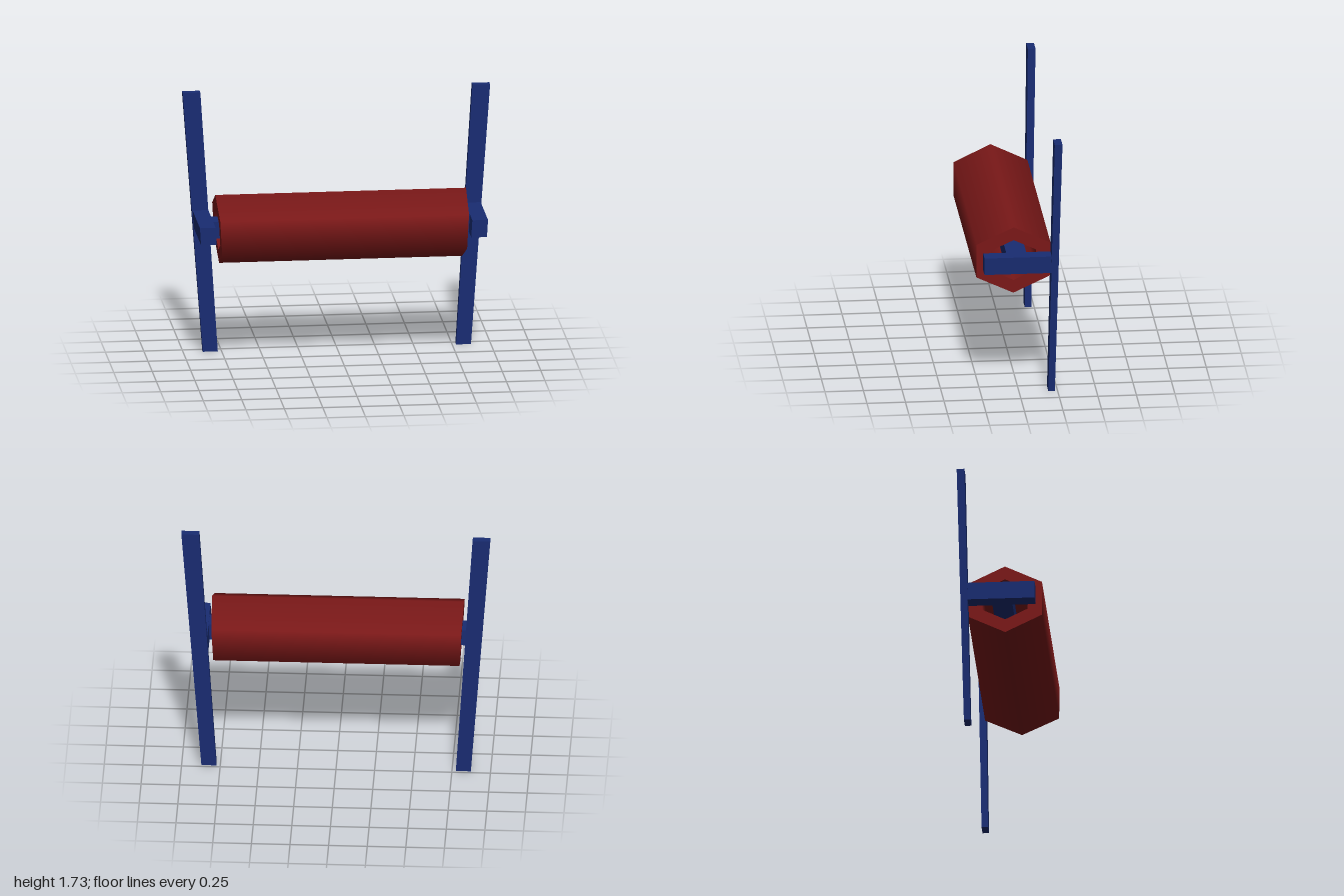
import * as THREE from 'three';

const BLUE = new THREE.MeshStandardMaterial({ color: 0x192c72, flatShading: true });
const RED = new THREE.MeshStandardMaterial({ color: 0x7a1818 });
const RED_INNER = new THREE.MeshStandardMaterial({ color: 0x7a1818, side: THREE.DoubleSide });

// Tapered box between two rectangles [x0, x1, z0, z1] at heights y0 and y1
function taperedBox(name, y0, low, y1, high) {
  const geo = new THREE.BoxGeometry(1, 1, 1);
  const p = geo.attributes.position;
  for (let i = 0; i < p.count; i++) {
    const top = p.getY(i) > 0;
    const r = top ? high : low;
    p.setXYZ(i, p.getX(i) > 0 ? r[1] : r[0], top ? y1 : y0, p.getZ(i) > 0 ? r[3] : r[2]);
  }
  geo.computeVertexNormals();
  const mesh = new THREE.Mesh(geo, BLUE);
  mesh.name = name;
  return mesh;
}

// Place a hexagonal piece at the roller centre, with its ends leaning outward
const CY = 0.882, CZ = 0.03, HALF = 0.803, LEAN = 0.055, WIDEN = 1.216;
function rollerPart(name, geo, material) {
  geo.scale(1, 1, WIDEN);
  const p = geo.attributes.position;
  for (let i = 0; i < p.count; i++) {
    const y = p.getY(i);
    p.setXYZ(i, Math.sign(p.getX(i)) * (HALF + LEAN * y), y + CY, p.getZ(i) + CZ);
  }
  const mesh = new THREE.Mesh(geo, material);
  mesh.name = name;
  return mesh;
}

export function createModel() {
  const model = new THREE.Group();
  model.name = 'rollerFrame';

  // Hollow hexagonal roller
  const roller = new THREE.Group();
  roller.name = 'roller';
  const OUTER = 0.228, INNER = 0.139;
  const tube = r => new THREE.CylinderGeometry(r, r, 2 * HALF, 6, 1, true, Math.PI / 2).rotateZ(-Math.PI / 2);
  roller.add(rollerPart('rollerShell', tube(OUTER), RED));
  roller.add(rollerPart('rollerBore', tube(INNER), RED_INNER));
  for (const s of [-1, 1]) {
    const ring = new THREE.RingGeometry(INNER, OUTER, 6, 1, Math.PI / 2)
      .rotateY(s * Math.PI / 2).translate(s * HALF, 0, 0);
    roller.add(rollerPart(s > 0 ? 'leftRollerEnd' : 'rightRollerEnd', ring, RED));
  }
  model.add(roller);

  // Axle through the roller
  const axle = [-0.85, 0.85, -0.05, 0.08];
  model.add(taperedBox('axle', 0.832, axle, 0.943, axle));

  // Leaning posts and the arms that carry the axle
  for (const s of [-1, 1]) {
    const side = s > 0 ? 'left' : 'right';
    const rect = (x0, x1, z0, z1) => s > 0 ? [x0, x1, z0, z1] : [-x1, -x0, z0, z1];
    model.add(taperedBox(side + 'Post', 0, rect(0.775, 0.872, -0.232, -0.19),
      1.73, rect(0.885, 1, -0.27, -0.22)));
    model.add(taperedBox(side + 'Arm', 0.83, rect(0.828, 0.93, -0.245, 0.23),
      0.945, rect(0.835, 0.937, -0.245, 0.23)));
  }
  return model;
}
